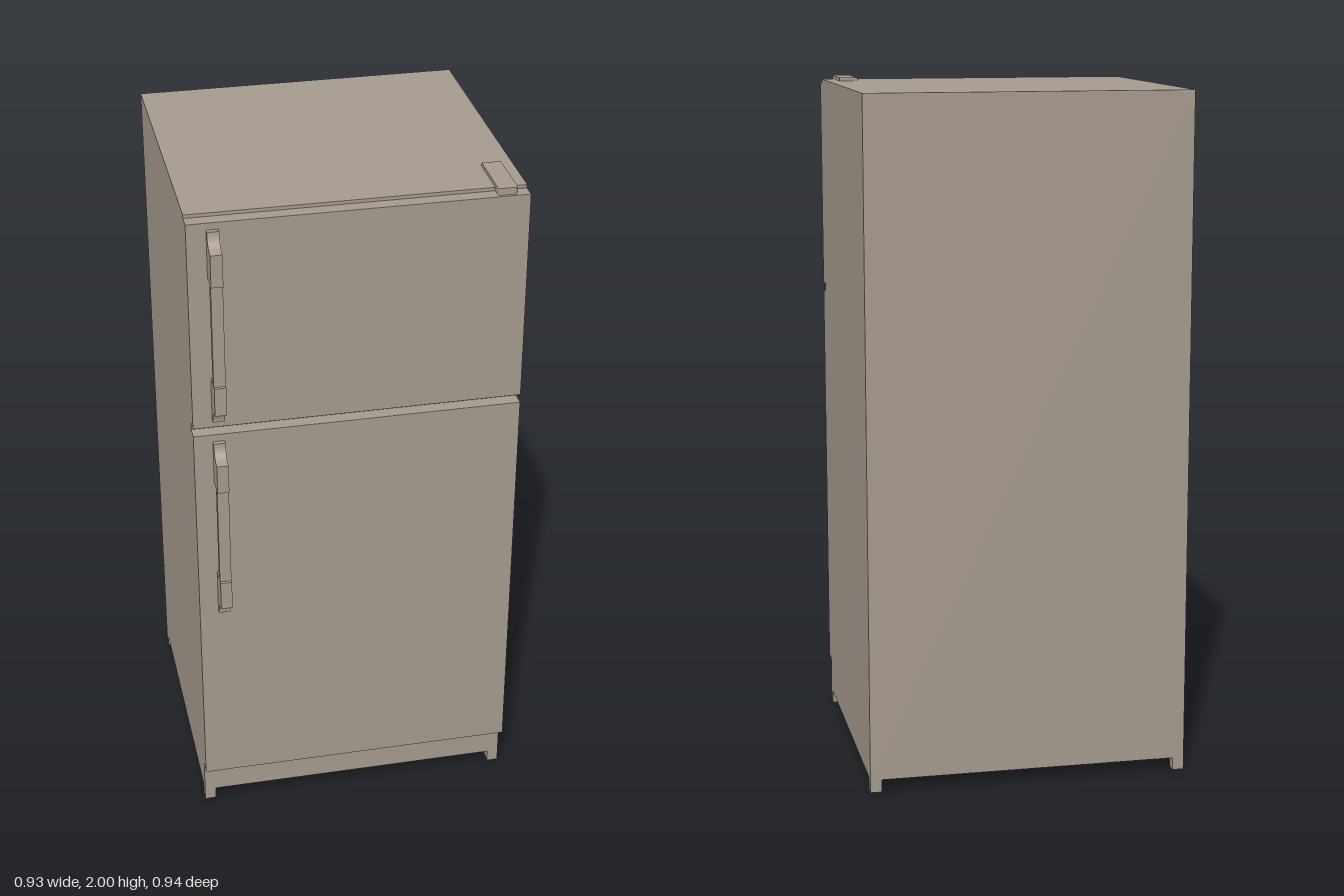
import * as THREE from 'three';

export function createModel() {
  const model = new THREE.Group();
  model.name = 'refrigerator';
  const enamel = new THREE.MeshStandardMaterial({ color: 0xa4998c });
  enamel.name = 'warm grey enamel';

  const add = (name, geometry) => {
    const mesh = new THREE.Mesh(geometry, enamel);
    mesh.name = name;
    model.add(mesh);
    return mesh;
  };
  // Box given by its limits on each axis
  const box = (name, x0, x1, y0, y1, z0, z1) => {
    const g = new THREE.BoxGeometry(x1 - x0, y1 - y0, z1 - z0);
    g.translate((x0 + x1) / 2, (y0 + y1) / 2, (z0 + z1) / 2);
    return add(name, g);
  };

  const W = 0.467, BACK = -0.47, BODY = 0.37, DOOR = 0.41, LEG = 0.033;

  // Cabinet and doors
  box('cabinet', -W, W, 0.037, 1.99, BACK, BODY);
  box('freezerDoor', -W, W, 1.36, 1.98, BODY, DOOR);
  box('fridgeDoor', -W, W, 0.14, 1.335, BODY, DOOR);

  // Feet at the four corners
  for (const [side, x] of [['right', -W], ['left', W - LEG]]) {
    for (const [end, z] of [['Front', BODY - LEG], ['Back', BACK]]) {
      box(`${side}${end}Foot`, x, x + LEG, 0, 0.037, z, z + LEG);
    }
  }

  // Top hinge cover with rounded front corners
  const cover = new THREE.Shape();
  const hx0 = 0.378, hx1 = 0.432, hz0 = 0.23, hz1 = 0.402, r = 0.008;
  cover.moveTo(hx0, hz0);
  cover.lineTo(hx1, hz0);
  cover.lineTo(hx1, hz1 - r);
  cover.quadraticCurveTo(hx1, hz1, hx1 - r, hz1);
  cover.lineTo(hx0 + r, hz1);
  cover.quadraticCurveTo(hx0, hz1, hx0, hz1 - r);
  cover.closePath();
  const coverGeometry = new THREE.ExtrudeGeometry(cover, { depth: 0.02, bevelEnabled: false, curveSegments: 6 });
  coverGeometry.rotateX(Math.PI / 2).translate(0, 2, 0);
  add('hingeCover', coverGeometry);

  // Handle: side profile in (z, y), with scooped ends and a slim grip
  const handle = (name, y0, y1, gripLow, gripHigh) => {
    const out = 0.47, R = 0.046;
    const s = new THREE.Shape();
    s.moveTo(DOOR, y0);
    s.lineTo(out - R, y0);
    s.absarc(out, y0, R, Math.PI, Math.PI / 2, true);
    s.lineTo(out, gripLow);
    s.lineTo(0.461, gripLow);
    s.lineTo(0.461, gripHigh);
    s.lineTo(out, gripHigh);
    s.lineTo(out, y1 - R);
    s.absarc(out, y1, R, -Math.PI / 2, -Math.PI, true);
    s.lineTo(DOOR, y1);
    s.lineTo(DOOR, gripHigh);
    s.lineTo(0.441, gripHigh);
    s.lineTo(0.441, gripLow);
    s.lineTo(DOOR, gripLow);
    s.closePath();
    const g = new THREE.ExtrudeGeometry(s, { depth: 0.033, bevelEnabled: false, curveSegments: 14 });
    g.rotateY(-Math.PI / 2).translate(-0.38, 0, 0);
    add(name, g);
  };
  handle('freezerHandle', 1.383, 1.96, 1.515, 1.82);
  handle('fridgeHandle', 0.74, 1.313, 0.875, 1.18);

  return model;
}
